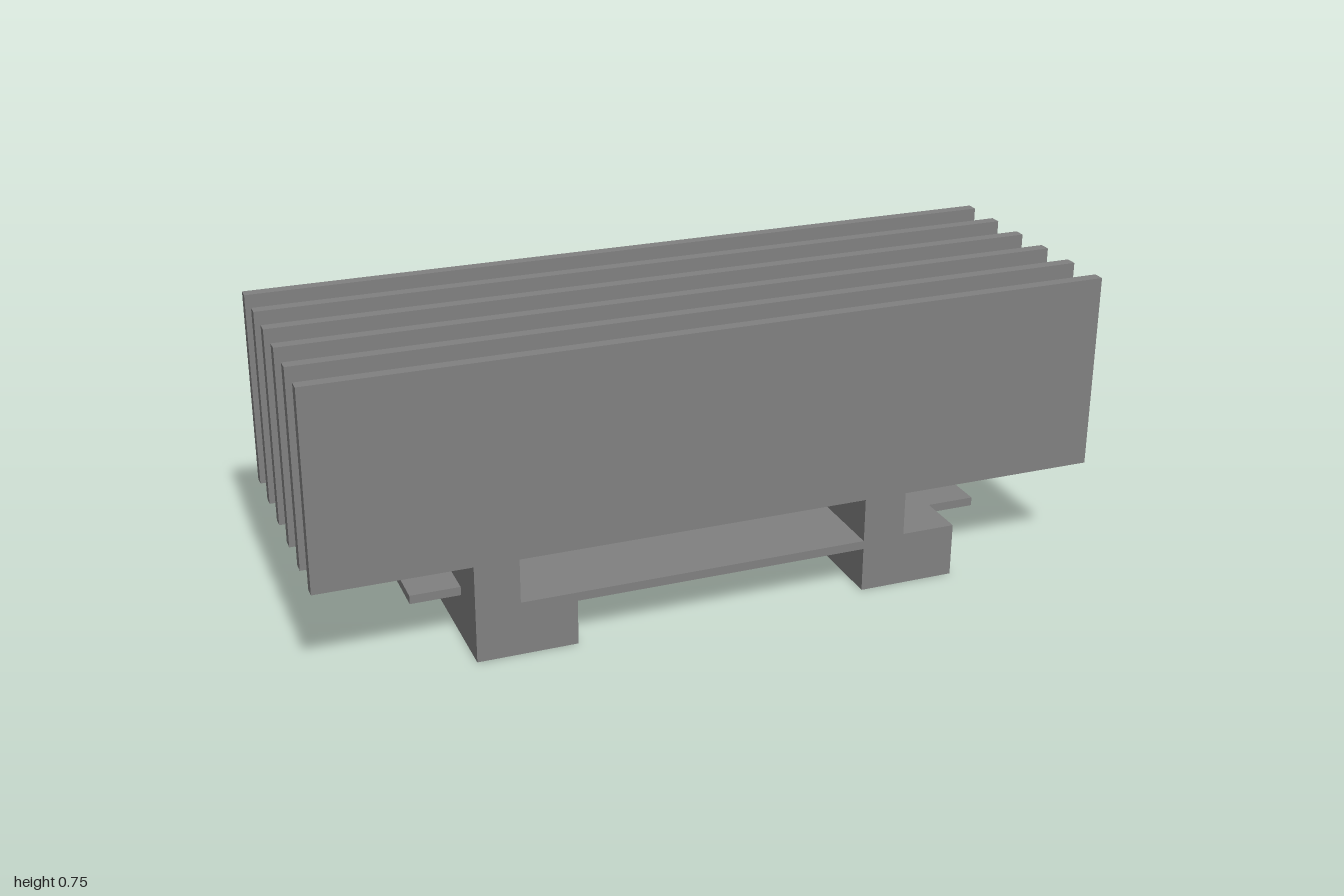
import * as THREE from 'three';

export function createModel() {
  const model = new THREE.Group();
  const grey = new THREE.MeshStandardMaterial({ color: 0x808080 });
  grey.name = 'grey';

  // Closed shape from [x, y] corner pairs
  const outline = (points, Type = THREE.Shape) =>
    new Type(points.map(([x, y]) => new THREE.Vector2(x, y)));
  const extrude = (shape, depth) =>
    new THREE.ExtrudeGeometry(shape, { depth, bevelEnabled: false });
  const add = (name, geometry, x, y, z) => {
    const mesh = new THREE.Mesh(geometry, grey);
    mesh.name = name;
    mesh.position.set(x, y, z);
    model.add(mesh);
    return mesh;
  };

  // Six upright fins, evenly spaced back from the front edge
  const finGeometry = new THREE.BoxGeometry(2, 0.5, 0.03);
  for (let i = 0; i < 6; i++) add('fin', finGeometry, 0, 0.5, 0.485 - i * 0.125);

  // Four L-shaped feet with the upright on the same side of each
  const footGeometry = extrude(outline([
    [0, 0], [0.25, 0], [0.25, 0.137], [0.11, 0.137], [0.11, 0.25], [0, 0.25],
  ]), 0.375);
  for (const x of [-0.625, 0.375])
    for (const z of [-0.5, 0.125]) add('foot', footGeometry, x, 0, z);

  // Flat base plate with stepped corners and a central opening
  const plate = outline([
    [-0.625, -0.5], [0.625, -0.5], [0.625, -0.375], [0.75, -0.375],
    [0.75, 0.375], [0.625, 0.375], [0.625, 0.5], [-0.625, 0.5],
    [-0.625, 0.375], [-0.75, 0.375], [-0.75, -0.375], [-0.625, -0.375],
  ]);
  plate.holes.push(outline([
    [-0.255, -0.125], [-0.255, 0.125], [0.255, 0.125], [0.255, -0.125],
  ], THREE.Path));
  add('basePlate', extrude(plate, 0.022), 0, 0.115, 0).rotation.x = -Math.PI / 2;

  return model;
}
